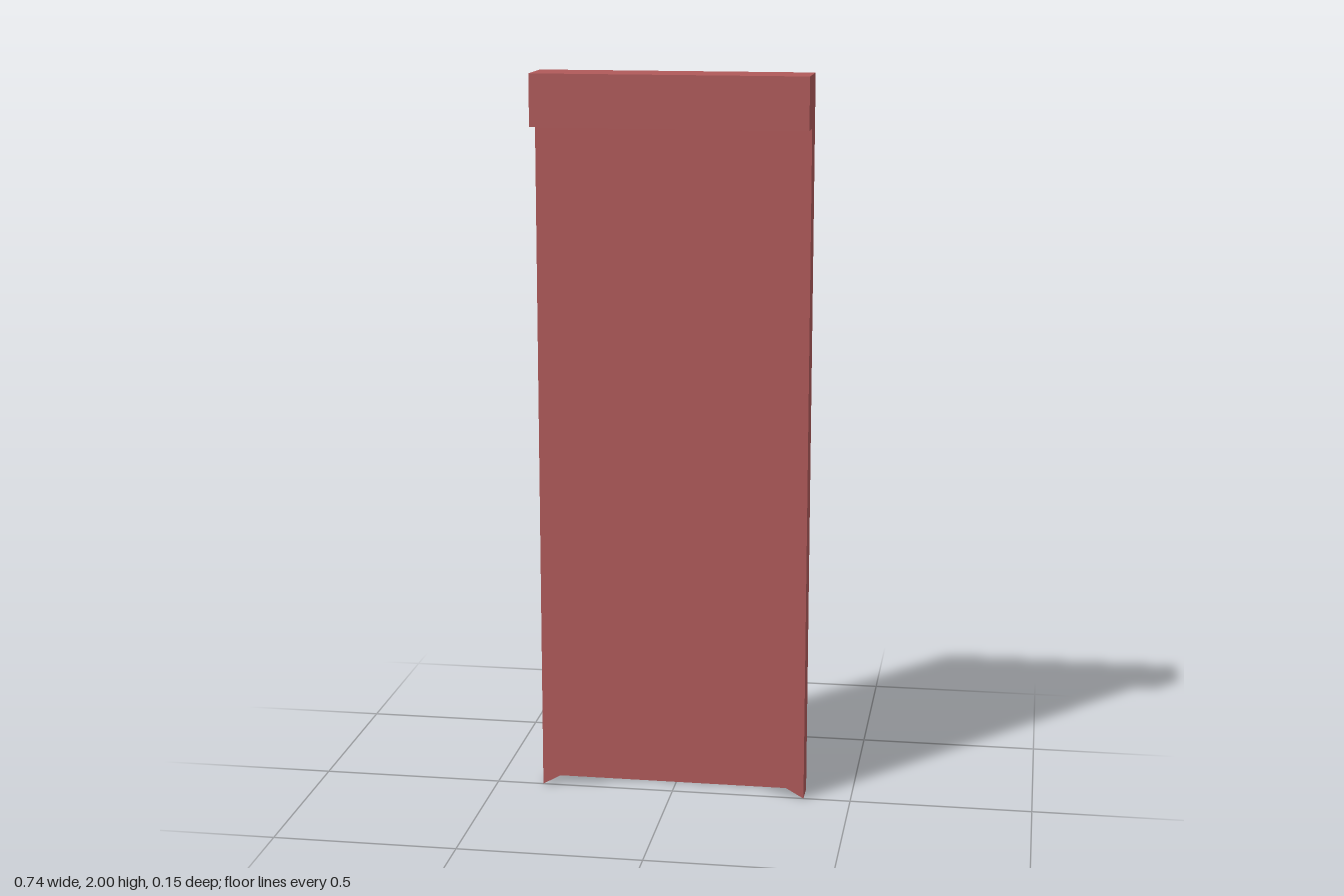
import * as THREE from 'three';

export function createModel() {
  const group = new THREE.Group();
  const material = new THREE.MeshStandardMaterial({ color: 0xb05a5a });
  const halfWidth = 0.37, height = 2, halfDepth = 0.074, skin = 0.002;
  const lipHeight = 0.14, notchHeight = 0.21;

  function add(name, geometry, y, z) {
    const mesh = new THREE.Mesh(geometry, material);
    mesh.name = name;
    mesh.position.set(0, y, z);
    group.add(mesh);
  }

  // Main slab with a shallow V-shaped notch along its bottom edge
  const outline = new THREE.Shape();
  outline.moveTo(-halfWidth, 0);
  outline.lineTo(0, notchHeight);
  outline.lineTo(halfWidth, 0);
  outline.lineTo(halfWidth, height);
  outline.lineTo(-halfWidth, height);
  outline.closePath();
  const slab = new THREE.ExtrudeGeometry(outline, { depth: halfDepth - skin, bevelEnabled: false });
  add('panel', slab, 0, -halfDepth + skin);

  // Thin sheet that closes the notch at the back
  add('backSheet', new THREE.BoxGeometry(halfWidth * 2, height, skin), height / 2, -halfDepth + skin / 2);

  // Lip that overhangs the front along the top
  add('topLip', new THREE.BoxGeometry(halfWidth * 2, lipHeight, halfDepth), height - lipHeight / 2, halfDepth / 2);

  return group;
}
